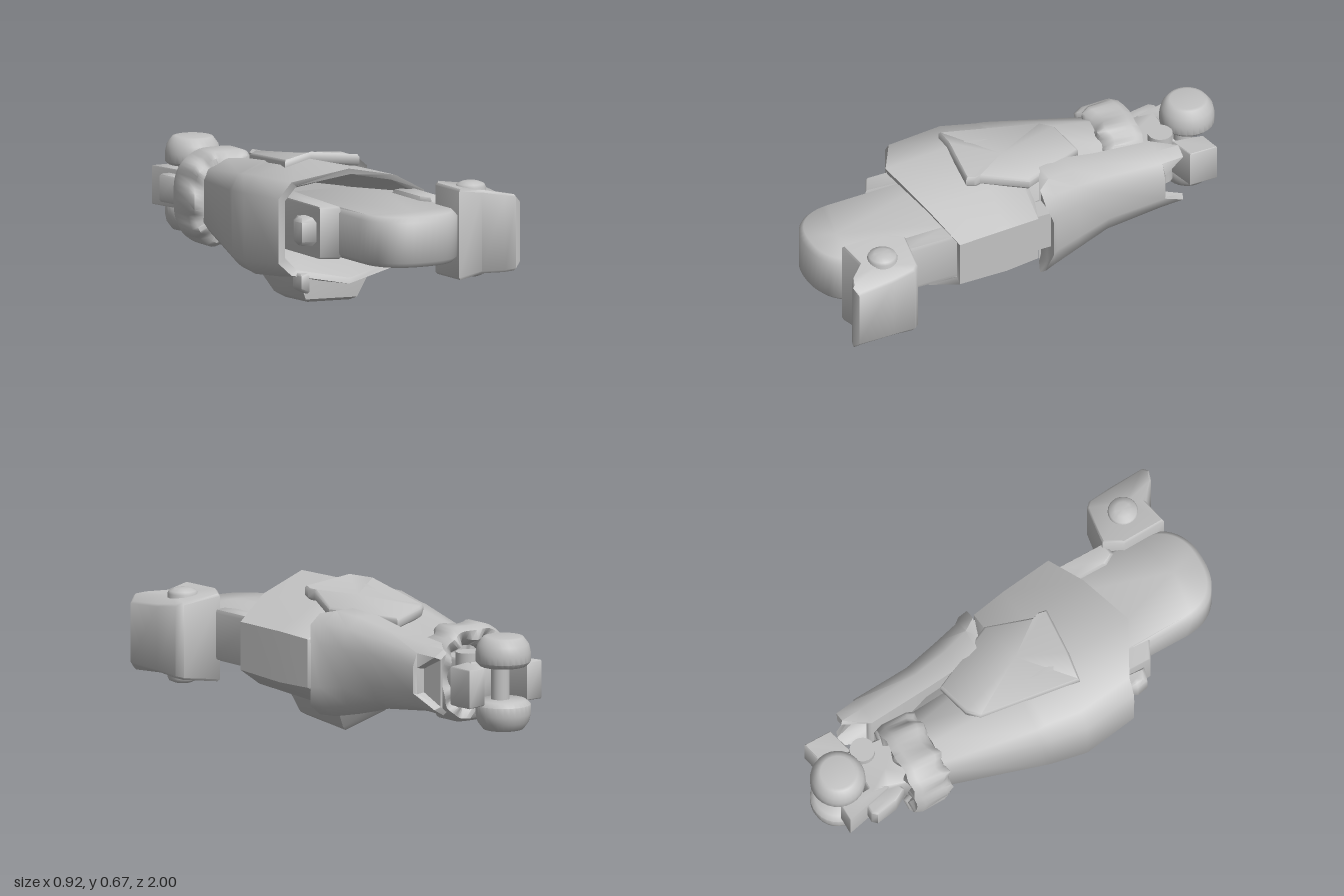
import * as THREE from 'three';
import { toCreasedNormals } from 'three/addons/utils/BufferGeometryUtils.js';

const grey = new THREE.MeshStandardMaterial({ color: 0xc2c2c2, side: THREE.DoubleSide });
grey.name = 'grey';

function createModel() {
  const group = new THREE.Group();
  const add = (name, geometry, x = 0, y = 0, z = 0) => {
    const mesh = new THREE.Mesh(geometry, grey);
    mesh.name = name;
    mesh.position.set(x, y, z);
    group.add(mesh);
    return mesh;
  };

  // Skin between rings that run counter-clockwise about the direction of travel, capped at both ends
  const loft = (rings, crease = 0.6) => {
    const pos = [];
    const n = rings[0].length;
    const tri = (...p) => p.forEach((q) => pos.push(...q));
    const centre = (r) => [0, 1, 2].map((k) => r.reduce((s, p) => s + p[k], 0) / n);
    const first = rings[0], last = rings[rings.length - 1];
    const c0 = centre(first), c1 = centre(last);
    for (let i = 0; i < n; i++) {
      const j = (i + 1) % n;
      tri(c0, first[j], first[i]);
      tri(c1, last[i], last[j]);
      for (let k = 0; k + 1 < rings.length; k++) {
        const a = rings[k], b = rings[k + 1];
        tri(a[i], a[j], b[j]);
        tri(a[i], b[j], b[i]);
      }
    }
    const g = new THREE.BufferGeometry();
    g.setAttribute('position', new THREE.Float32BufferAttribute(pos, 3));
    return toCreasedNormals(g, crease);
  };

  // Bevelled slab from an (x, z) outline with bottom and top height rules
  const slab = (outline, bottom, top, bevel, crease = 0.9) => {
    const n = outline.length;
    const cx = outline.reduce((s, p) => s + p[0], 0) / n;
    const cz = outline.reduce((s, p) => s + p[1], 0) / n;
    const ring = (height, dy, inset) => outline.map(([x, z]) => {
      const k = 1 - inset / Math.hypot(x - cx, z - cz);
      return [cx + (x - cx) * k, height(x, z) + dy, cz + (z - cz) * k];
    });
    return loft([ring(bottom, 0, bevel), ring(bottom, bevel, 0), ring(top, -bevel, 0), ring(top, 0, bevel)], crease);
  };
  const level = (y) => () => y;

  // Large hollow shell with a tapering recess in front
  const shellShape = [[0, 0.18], [0.08, 0.07], [0.38, 0], [0.78, 0.1], [1, 0.28],
    [1, 0.7], [0.75, 0.88], [0.38, 1], [0.08, 0.88], [0, 0.74]];
  const lipOffset = [0, 0.01, 0.13, 0.06, -0.01, -0.01, 0.06, 0.13, 0.01, 0];
  const section = (xl, xr, yb, yt, z, lip = 0) => shellShape.map(([u, v], i) =>
    [xl + u * (xr - xl), yb + v * (yt - yb), z + lip * lipOffset[i]]);
  const shrink = (ring, k, dz) => ring.map(([x, y, z]) => [-0.09 + (x + 0.09) * k, 0.38 + (y - 0.38) * k, z + dz]);
  const lip = section(-0.43, 0.3, 0.135, 0.64, 0.42, 1);
  add('mainShell', loft([
    section(-0.31, 0, 0.21, 0.54, -0.45),
    section(-0.418, 0.13, 0.12, 0.61, -0.03),
    section(-0.428, 0.25, 0.11, 0.618, 0.01),
    section(-0.46, 0.275, 0.105, 0.64, 0.17),
    lip, shrink(lip, 0.9, -0.005),
    section(-0.33, 0.19, 0.23, 0.52, 0.14),
  ], 0.95));

  // Raised plate on top
  const plateY = (x, z) => 0.637 + 0.13 * z - (x < -0.17 ? 0.22 * (-0.17 - x) : 0.13 * (x + 0.17));
  add('topPlate', slab(
    [[0, -0.3], [-0.16, -0.265], [-0.21, -0.22], [-0.29, 0.23], [-0.17, 0.245], [0.06, 0.265], [0.07, 0.23], [0.06, 0.2], [0.14, 0]],
    (x, z) => plateY(x, z) - 0.05, plateY, 0.01));

  // Faceted housing underneath
  add('lowerHousing', loft([
    [[-0.27, 0.035, 0.2], [-0.28, 0.045, 0.41], [-0.06, 0.035, 0.39], [-0.09, 0, 0.17]],
    [[-0.31, 0.06, 0.17], [-0.3, 0.06, 0.43], [-0.04, 0.05, 0.42], [-0.06, 0.02, 0.15]],
    [[-0.36, 0.18, 0.08], [-0.34, 0.17, 0.43], [0.02, 0.16, 0.43], [0.04, 0.16, 0.08]],
  ], 0.7));

  // Curved side guard with forked rear end
  const guardShape = [[0, 0], [0.5, 0], [0.86, 0.1], [1, 0.3], [1, 0.7], [0.86, 0.9], [0.5, 1], [0, 1]];
  const guardSection = (xi, xo, yb, yt, z, notch = 0) => guardShape.map(([u, v]) =>
    [xi + u * (xo - xi), yb + v * (yt - yb), z + (u > 0.95 || u < 0.1 ? notch : 0)]);
  add('sideGuard', loft([
    guardSection(0.05, 0.13, 0.27, 0.47, -0.54),
    guardSection(0.04, 0.13, 0.24, 0.5, -0.745, 0.1),
    guardSection(0.025, 0.165, 0.225, 0.515, -0.735, 0.095),
    guardSection(0.02, 0.18, 0.23, 0.52, -0.63),
    guardSection(0.03, 0.19, 0.2, 0.55, -0.36),
    guardSection(0.035, 0.225, 0.155, 0.58, -0.2),
    guardSection(0.07, 0.255, 0.13, 0.595, -0.08),
    guardSection(0.13, 0.28, 0.135, 0.58, -0.02, -0.03),
    guardSection(0.13, 0.25, 0.17, 0.54, -0.06),
  ], 0.9));
  add('guardHinge', new THREE.BoxGeometry(0.1, 0.18, 0.1), 0.18, 0.37, -0.01);

  // Fluted cuff
  const cuffRing = (rx, ry, z, flute) => Array.from({ length: 60 }, (_, i) => {
    const a = (i / 60) * Math.PI * 2;
    const round = (t) => Math.sign(t) * Math.abs(t) ** 0.75;
    const wave = flute * Math.cos(a * 10);
    return [-0.175 + rx * (1 + wave) * round(Math.cos(a)), 0.36 + ry * (1 + wave) * round(Math.sin(a)), z + 0.4 * wave];
  });
  add('cuff', loft([
    cuffRing(0.1, 0.11, -0.53, 0), cuffRing(0.14, 0.155, -0.62, 0.04), cuffRing(0.185, 0.195, -0.625, 0.01),
    cuffRing(0.197, 0.212, -0.59, 0.01), cuffRing(0.192, 0.208, -0.485, 0.03),
    cuffRing(0.178, 0.185, -0.455, 0.04), cuffRing(0.14, 0.15, -0.44, 0),
  ], 1));

  // Wrist: core, flared cheeks, rounded pads and pivot pin
  add('wristCore', slab([[-0.24, -0.78], [-0.25, -0.7], [-0.29, -0.55], [-0.04, -0.55], [-0.02, -0.78]],
    level(0.28), level(0.45), 0.01));
  add('leftCheek', slab([[0, -0.9], [-0.02, -0.76], [0.1, -0.79], [0.1, -0.92]], level(0.28), level(0.45), 0.005));
  add('rightCheek', slab([[-0.3, -0.92], [-0.25, -0.7], [-0.21, -0.7], [-0.22, -0.92]], level(0.28), level(0.45), 0.005));
  add('wristKnob', slab([[-0.33, -0.8], [-0.315, -0.7], [-0.28, -0.64], [-0.24, -0.66], [-0.27, -0.82], [-0.31, -0.82]],
    level(0.31), level(0.43), 0.008));
  const padProfile = [[0, 0], [0.1, 0], [0.12, 0.02], [0.12, 0.06], [0.112, 0.095], [0.088, 0.127], [0.075, 0.13], [0, 0.13]]
    .map(([r, y]) => new THREE.Vector2(r, y));
  for (const side of [1, -1]) {
    const pad = add(side > 0 ? 'upperPad' : 'lowerPad',
      toCreasedNormals(new THREE.LatheGeometry(padProfile, 28), 0.8), -0.12, 0.367 + side * 0.075, -0.88);
    if (side < 0) pad.rotation.x = Math.PI;
  }
  add('padPost', new THREE.CylinderGeometry(0.04, 0.04, 0.24, 20), -0.12, 0.367, -0.86);
  add('pivotPin', new THREE.CylinderGeometry(0.055, 0.055, 0.24, 20), -0.055, 0.367, -0.72);

  // Rounded front drum and its side bracket
  const drum = [[-0.235, 0.12]];
  for (let i = 0; i <= 24; i++) {
    const a = Math.PI * (1 - i / 24);
    const c = Math.cos(a);
    drum.push([-0.012 + 0.223 * Math.sign(c) * Math.abs(c) ** 0.85, 0.79 + 0.21 * Math.sin(a) ** 0.9]);
  }
  drum.push([0.211, 0.12]);
  add('frontDrum', slab(drum, level(0.262), level(0.482), 0.022, 1.2));
  add('drumBracket', slab([[-0.31, 0.1], [-0.31, 0.57], [-0.23, 0.61], [-0.2, 0.1]], level(0.258), level(0.486), 0.008));
  add('frameKnob', slab([[-0.38, 0.47], [-0.37, 0.52], [-0.31, 0.54], [-0.3, 0.43], [-0.36, 0.43]],
    level(0.31), level(0.435), 0.02));
  add('lowerKnob', slab([[-0.355, 0.42], [-0.345, 0.47], [-0.31, 0.48], [-0.3, 0.4], [-0.34, 0.39]],
    (x) => 0.1 - (x + 0.33) * 0.4, level(0.18), 0.01));

  // Tapered side block with bosses and its linking arm
  const taper = (x) => 0.2 - (x - 0.18) * 0.13 - Math.max(0, x - 0.43) * 0.8;
  add('sideBlock', slab(
    [[0.23, 0.64], [0.18, 0.72], [0.185, 0.92], [0.31, 0.9], [0.385, 0.97], [0.43, 0.985], [0.46, 0.97], [0.45, 0.8], [0.435, 0.69], [0.41, 0.665]],
    (x) => 0.375 - taper(x), (x) => 0.375 + taper(x), 0.01));
  const bossProfile = [[0, -0.21], [0.035, -0.207], [0.06, -0.197], [0.066, -0.185], [0.066, 0.185], [0.06, 0.197], [0.035, 0.207], [0, 0.21]]
    .map(([r, y]) => new THREE.Vector2(r, y));
  add('sideBoss', toCreasedNormals(new THREE.LatheGeometry(bossProfile, 24), 0.8), 0.315, 0.375, 0.79);
  add('linkArm', slab([[0.16, 0.38], [0.16, 0.62], [0.19, 0.67], [0.25, 0.66], [0.25, 0.38]], level(0.28), level(0.5), 0.015));

  return group;
}

export { createModel };
